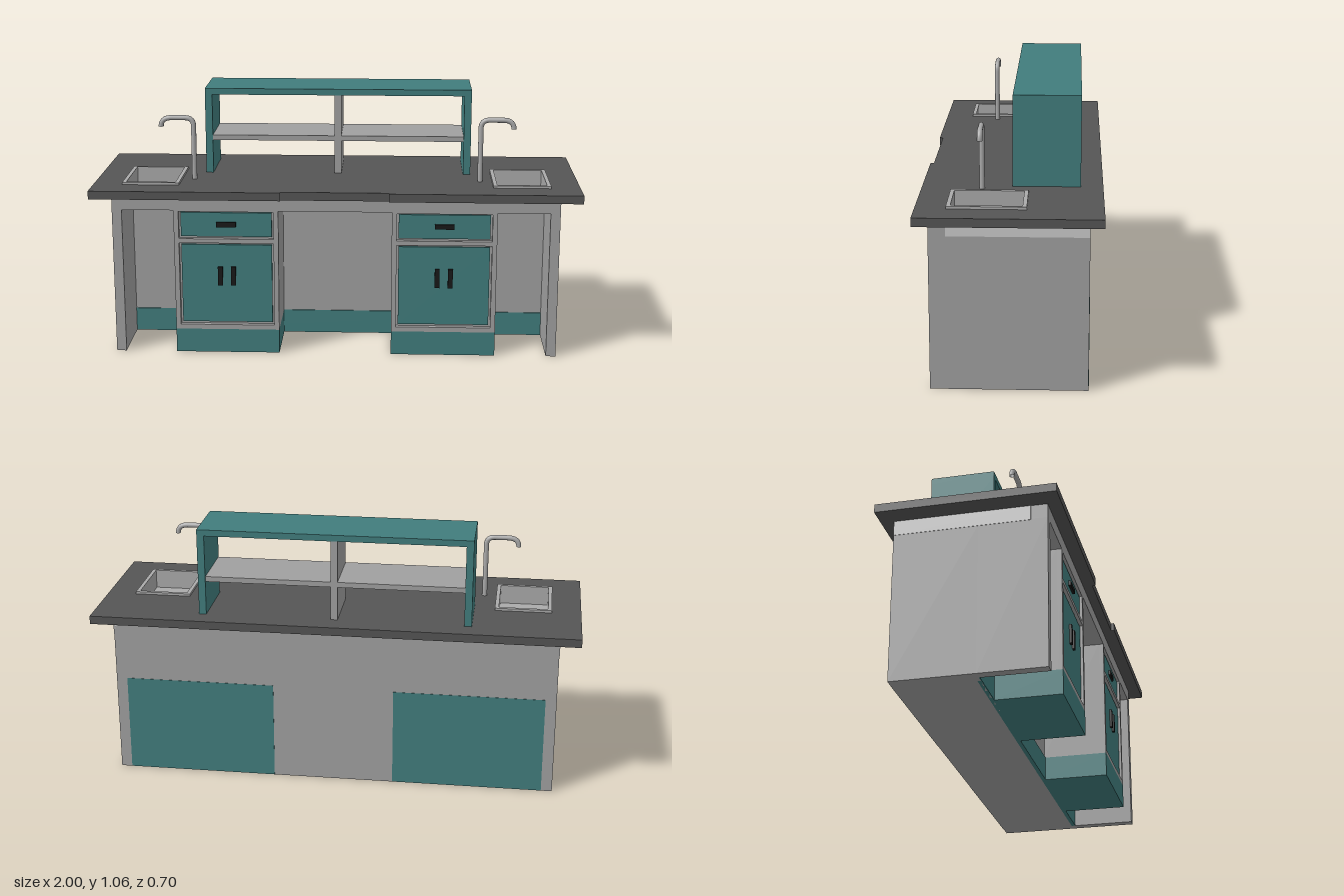
import * as THREE from 'three';

const mat = (color, side = THREE.FrontSide) => new THREE.MeshStandardMaterial({ color, side });
const grey = mat(0xa0a0a0), steel = mat(0xaaaaaa), light = mat(0xcccccc);
const teal = mat(0x417d7d), dark = mat(0x555555), black = mat(0x181818);

// Box given by its minimum and maximum corners
function box(parent, name, material, [x0, y0, z0], [x1, y1, z1]) {
  const mesh = new THREE.Mesh(new THREE.BoxGeometry(x1 - x0, y1 - y0, z1 - z0), material);
  mesh.position.set((x0 + x1) / 2, (y0 + y1) / 2, (z0 + z1) / 2);
  mesh.name = name;
  parent.add(mesh);
  return mesh;
}

const rect = (P, x0, y0, x1, y1) => new P([
  new THREE.Vector2(x0, y0), new THREE.Vector2(x1, y0),
  new THREE.Vector2(x1, y1), new THREE.Vector2(x0, y1)]);

// Horizontal plate: outline drawn in x and -z, extruded upward from y0 to y1
function plate(parent, name, material, shape, y0, y1) {
  const geo = new THREE.ExtrudeGeometry(shape, { depth: y1 - y0, bevelEnabled: false });
  geo.rotateX(-Math.PI / 2);
  const mesh = new THREE.Mesh(geo, material);
  mesh.position.y = y0;
  mesh.name = name;
  parent.add(mesh);
}

const SINK = { x0: 0.645, x1: 0.88, z0: -0.065, z1: 0.235 };
function sinkRect(P, side, inset = 0) {
  const a = side * (SINK.x0 + inset), b = side * (SINK.x1 - inset);
  return rect(P, Math.min(a, b), -SINK.z1 + inset, Math.max(a, b), -SINK.z0 - inset);
}

function cabinet(side) {
  const g = new THREE.Group();
  g.name = 'cabinet';
  const w = 0.215;
  box(g, 'carcass', grey, [-w, 0.1, 0.03], [w, 0.61, 0.28]);
  box(g, 'plinth', teal, [-w, 0, 0.03], [w, 0.1, 0.3]);
  // Face frame with drawer and door openings
  const face = rect(THREE.Shape, -w, 0.1, w, 0.61);
  face.holes.push(rect(THREE.Path, -0.195, 0.49, 0.195, 0.605), rect(THREE.Path, -0.195, 0.12, 0.195, 0.472));
  const frame = new THREE.Mesh(new THREE.ExtrudeGeometry(face, { depth: 0.02, bevelEnabled: false }), grey);
  frame.position.z = 0.28;
  frame.name = 'faceFrame';
  g.add(frame);
  box(g, 'drawerFront', teal, [-0.187, 0.498, 0.278], [0.187, 0.599, 0.29]);
  box(g, 'doorFront', teal, [-0.187, 0.13, 0.278], [0.187, 0.463, 0.29]);
  // Handles
  box(g, 'drawerHandle', black, [-0.04, 0.54, 0.288], [0.04, 0.56, 0.3]);
  for (const s of [-1, 1]) {
    box(g, 'doorHandle', black, [s * 0.027 - 0.01, 0.29, 0.288], [s * 0.027 + 0.01, 0.37, 0.3]);
  }
  g.position.x = side * 0.447;
  return g;
}

function sink(side) {
  const g = new THREE.Group();
  g.name = 'sink';
  const ring = sinkRect(THREE.Shape, side);
  ring.holes.push(sinkRect(THREE.Path, side, 0.016));
  plate(g, 'basinWalls', steel, ring, 0.61, 0.71);
  plate(g, 'basinFloor', steel, sinkRect(THREE.Shape, side, 0.01), 0.61, 0.63);
  return g;
}

// Gooseneck tap leaning outward over the sink
function faucet(side) {
  const v = (x, y) => new THREE.Vector3(side * x, y, 0.117);
  const path = new THREE.CurvePath();
  path.add(new THREE.LineCurve3(v(0.595, 0.69), v(0.595, 0.925)));
  path.add(new THREE.QuadraticBezierCurve3(v(0.595, 0.925), v(0.595, 0.959), v(0.63, 0.959)));
  path.add(new THREE.LineCurve3(v(0.63, 0.959), v(0.685, 0.959)));
  path.add(new THREE.QuadraticBezierCurve3(v(0.685, 0.959), v(0.73, 0.959), v(0.73, 0.922)));
  const mesh = new THREE.Mesh(new THREE.TubeGeometry(path, 60, 0.0105, 14), mat(0xaaaaaa, THREE.DoubleSide));
  mesh.name = 'faucet';
  return mesh;
}

export function createModel() {
  const model = new THREE.Group();
  model.name = 'labBench';

  // Base: rear block, upper slab with sink openings, knee-space skirting
  box(model, 'rearBlock', grey, [-0.915, 0, -0.3], [0.915, 0.61, 0.033]);
  const slab = rect(THREE.Shape, -0.915, -0.3, 0.915, 0.3);
  for (const s of [-1, 1]) slab.holes.push(sinkRect(THREE.Path, s, 0.002));
  plate(model, 'upperSlab', grey, slab, 0.61, 0.666);
  box(model, 'skirting', teal, [-0.875, 0, 0.02], [0.875, 0.1, 0.037]);

  // Worktop with a shallow cut in the middle of the front edge
  const top = new THREE.Shape([
    [-1, -0.352], [-0.22, -0.352], [-0.22, -0.338], [0.22, -0.338],
    [0.22, -0.352], [1, -0.352], [1, 0.352], [-1, 0.352],
  ].map(([x, y]) => new THREE.Vector2(x, y)));
  for (const s of [-1, 1]) top.holes.push(sinkRect(THREE.Path, s, 0.002));
  plate(model, 'worktop', dark, top, 0.666, 0.7);

  // Mirrored parts
  for (const s of [-1, 1]) {
    model.add(cabinet(s), sink(s), faucet(s));
    const span = (name, m, a, b, y0, y1, z0, z1) =>
      box(model, name, m, [Math.min(s * a, s * b), y0, z0], [Math.max(s * a, s * b), y1, z1]);
    span('endPanel', grey, 0.875, 0.915, 0, 0.61, 0.033, 0.3);
    span('sideStrip', light, 0.9, 0.9165, 0.606, 0.666, -0.3, 0.235);
    span('backPanel', teal, 0.25, 0.87, 0.001, 0.41, -0.3015, -0.29);
    span('shelfSide', teal, 0.53, 0.56, 0.7, 1.036, -0.265, 0);
  }

  // Overhead shelf unit
  box(model, 'shelfTop', teal, [-0.56, 1.036, -0.265], [0.56, 1.062, 0]);
  box(model, 'shelfBoard', grey, [-0.53, 0.84, -0.26], [0.53, 0.862, -0.005]);
  box(model, 'shelfDivider', grey, [-0.014, 0.7, -0.26], [0.014, 1.036, -0.005]);
  return model;
}
